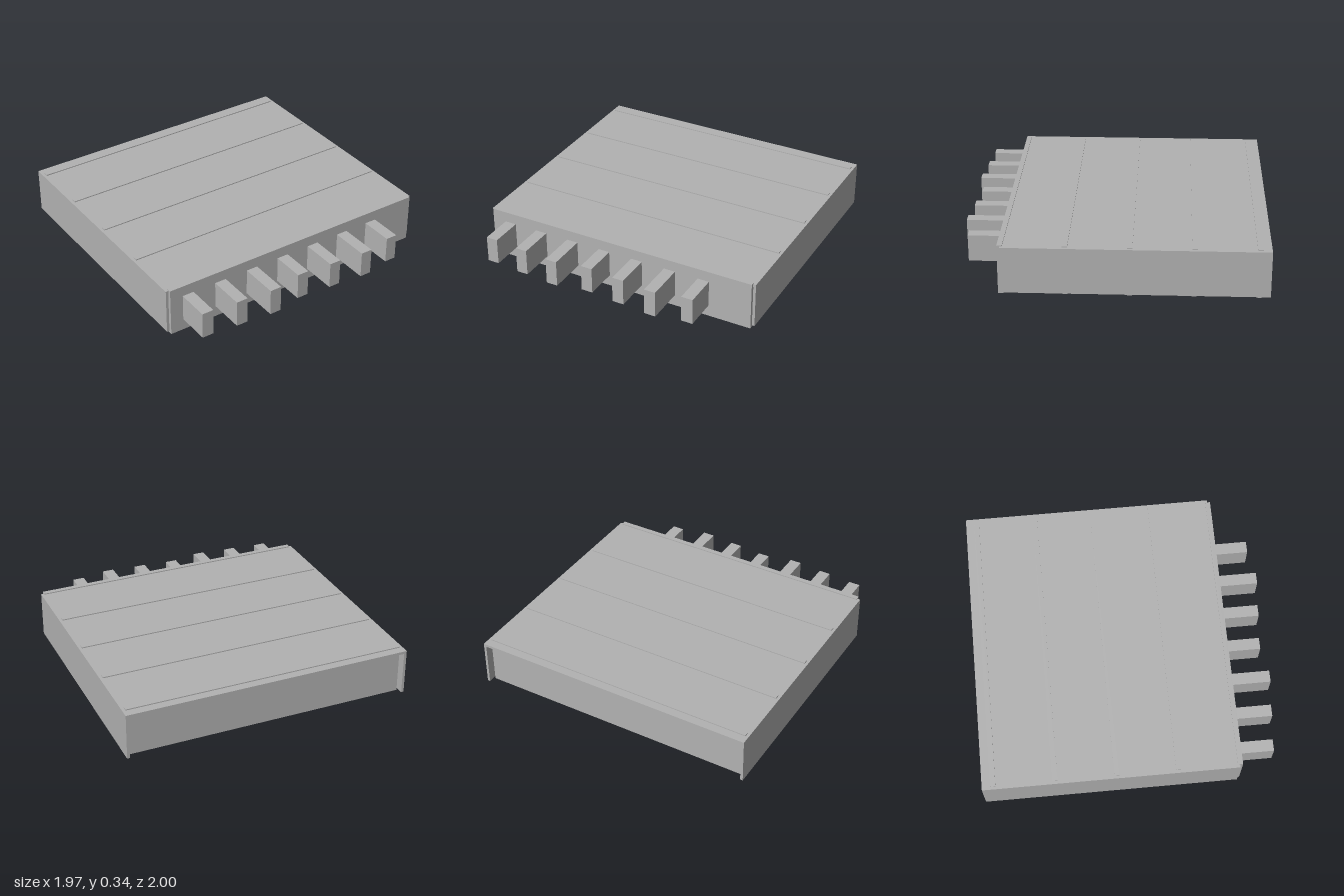
import * as THREE from 'three';

export function createModel() {
  const model = new THREE.Group();
  const grey = new THREE.MeshStandardMaterial({ color: 0xb2b2b2 });
  grey.name = 'plain grey';

  // Box between two corners
  function box(name, x0, x1, y0, y1, z0, z1) {
    const mesh = new THREE.Mesh(new THREE.BoxGeometry(x1 - x0, y1 - y0, z1 - z0), grey);
    mesh.position.set((x0 + x1) / 2, (y0 + y1) / 2, (z0 + z1) / 2);
    mesh.name = name;
    model.add(mesh);
  }

  // Roof and both side walls: an upside-down U, open below
  const w = 0.983, t = 0.018, bottom = 0.014, top = 0.328;
  const profile = new THREE.Shape([
    [-w, bottom], [-w + t, bottom], [-w + t, top - t], [w - t, top - t],
    [w - t, bottom], [w, bottom], [w, top], [-w, top],
  ].map(([x, y]) => new THREE.Vector2(x, y)));
  const shell = new THREE.Mesh(
    new THREE.ExtrudeGeometry(profile, { depth: 1.715, bevelEnabled: false }), grey);
  shell.position.z = -1;
  shell.name = 'roofAndSideWalls';
  model.add(shell);

  // Cross plates, slightly taller than the shell so their edges show as ribs
  [0.717, 0.306, -0.105, -0.515, -0.926].forEach((z, i) =>
    box(`crossPlate${i + 1}`, -0.963, 0.963, 0, 0.335, z - 0.017, z + 0.017));

  // Bars passing through the plates, with staggered front ends
  for (let i = 0; i < 7; i++) {
    const x = -0.832 + i * 0.243;
    box(`bar${i + 1}`, x - 0.04, x + 0.04, 0.08, 0.262, -0.926, 0.96 + (i % 3) * 0.02);
  }
  return model;
}
